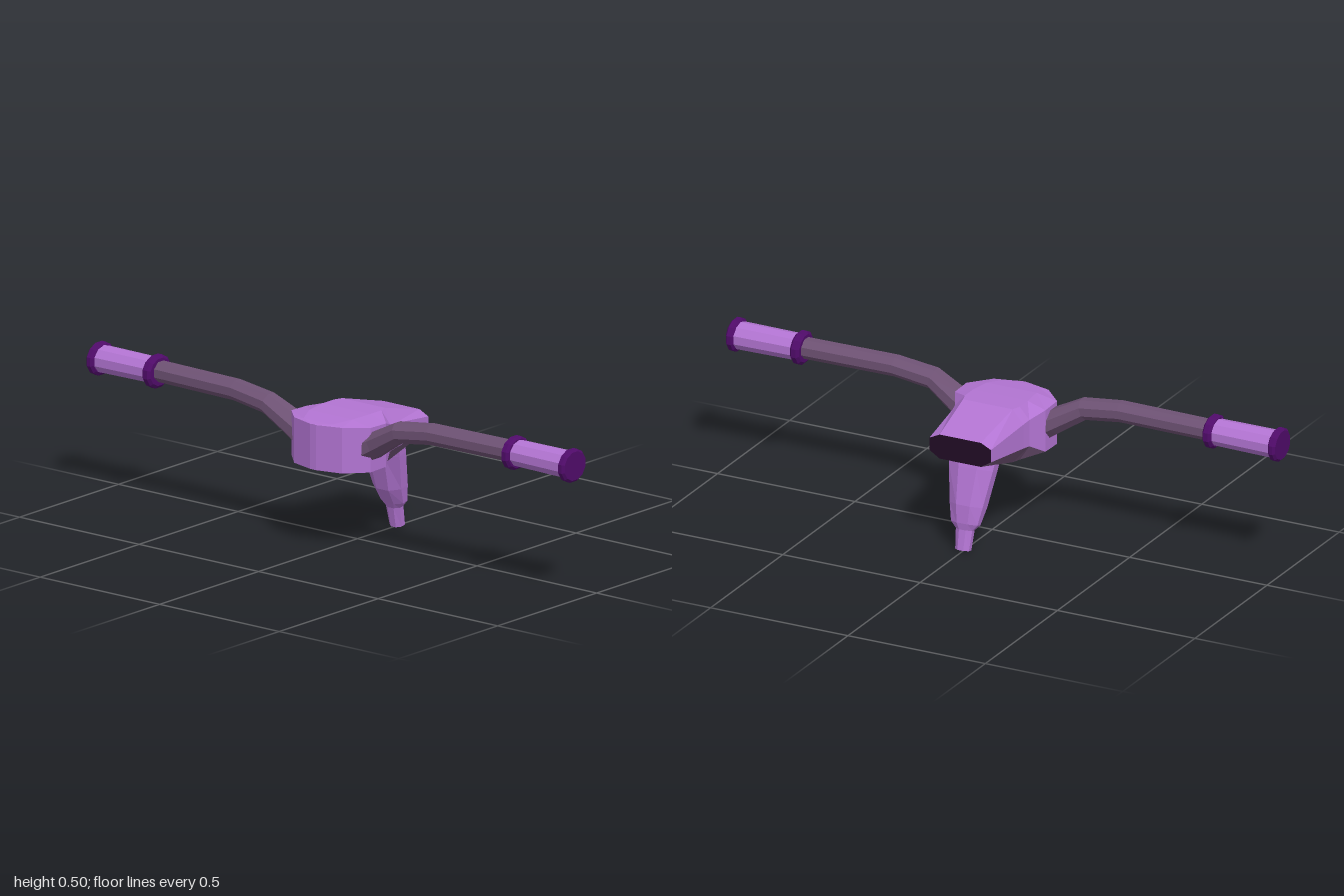
import * as THREE from 'three';

const mat = (name, color, extra = {}) => {
  const m = new THREE.MeshStandardMaterial({ color, flatShading: true, ...extra });
  m.name = name;
  return m;
};

// Skins a row of rings; open strips skip the closing column.
function loft(rings, { closed = true, capStart = false, capEnd = false } = {}) {
  const n = rings[0].length, pos = [];
  const tri = (...p) => p.forEach(v => pos.push(v.x, v.y, v.z));
  for (let i = 0; i < rings.length - 1; i++) {
    for (let j = 0; j < (closed ? n : n - 1); j++) {
      const k = (j + 1) % n;
      const a = rings[i][j], b = rings[i][k], c = rings[i + 1][k], d = rings[i + 1][j];
      tri(a, d, c);
      tri(a, c, b);
    }
  }
  const first = rings[0], last = rings[rings.length - 1];
  for (let j = 1; j < n - 1; j++) {
    if (capStart) tri(first[0], first[j], first[j + 1]);
    if (capEnd) tri(last[0], last[j + 1], last[j]);
  }
  const g = new THREE.BufferGeometry();
  g.setAttribute('position', new THREE.Float32BufferAttribute(pos, 3));
  g.computeVertexNormals();
  return g;
}

// Faceted tube along stations [x, y, z, radius along u, radius along v].
function tube(stations, sides, u, caps = true) {
  const pts = stations.map(s => new THREE.Vector3(s[0], s[1], s[2]));
  const grow = 1 / Math.cos(Math.PI / sides);
  const rings = stations.map((s, i) => {
    const t = pts[Math.min(i + 1, pts.length - 1)].clone().sub(pts[Math.max(i - 1, 0)]).normalize();
    const v = u.clone().cross(t).normalize();
    return Array.from({ length: sides }, (_, j) => {
      const a = (j + 0.5) / sides * Math.PI * 2;
      return pts[i].clone()
        .addScaledVector(u, Math.cos(a) * s[3] * grow)
        .addScaledVector(v, Math.sin(a) * s[4] * grow);
    });
  });
  return loft(rings, { capStart: caps, capEnd: caps });
}

export function createModel() {
  const group = new THREE.Group();
  group.name = 'handlebar';
  const lilac = mat('lilac', 0xb274d2);
  const barColor = mat('dusky mauve', 0x6e5274);
  const deep = mat('deep purple', 0x500b6a);
  const black = mat('plum black', 0x210c25);
  const add = (name, geo, material) => {
    const m = new THREE.Mesh(geo, material);
    m.name = name;
    group.add(m);
  };
  const X = new THREE.Vector3(1, 0, 0), Z = new THREE.Vector3(0, 0, 1);

  // Housing sections: z, half width, half flat, top, shoulder, lower edge, bottom
  const sections = [
    [0.225, 0.012, 0.006, 0.435, 0.434, 0.283, 0.282],
    [0.2, 0.1, 0.06, 0.439, 0.435, 0.282, 0.279],
    [0.135, 0.165, 0.09, 0.447, 0.432, 0.283, 0.268],
    [0.055, 0.165, 0.1, 0.45, 0.43, 0.285, 0.265],
    [0, 0.135, 0.1, 0.45, 0.41, 0.318, 0.265],
    [-0.03, 0.13, 0.09, 0.45, 0.405, 0.321, 0.265],
    [-0.222, 0.112, 0.075, 0.401, 0.383, 0.34, 0.317],
  ];
  const rings = sections.map(([z, w, f, top, sh, lo, bot]) =>
    [[w, lo], [w, sh], [f, top], [-f, top], [-w, sh], [-w, lo], [-f, bot], [f, bot]]
      .map(([x, y]) => new THREE.Vector3(x, y, z)));
  add('housing', loft(rings.map(r => r.slice(0, 6)), { closed: false, capStart: true }), lilac);
  add('housingUnderside', loft(rings.map(r => [r[5], r[6], r[7], r[0]]), { closed: false }), barColor);

  // Dark opening at the back of the housing
  const end = rings[rings.length - 1];
  add('rearOpening', loft([end, end], { capEnd: true }), black);

  // Tapered steering stem, leaning back
  add('stem', tube([
    [0, 0.335, -0.113, 0.088, 0.04],
    [0, 0.27, -0.132, 0.08, 0.041],
    [0, 0.15, -0.165, 0.06, 0.041],
    [0, 0.093, -0.184, 0.048, 0.027],
    [0, 0.073, -0.187, 0.03, 0.021],
    [0, 0.006, -0.201, 0.025, 0.021],
  ], 8, X), lilac);

  for (const s of [1, -1]) {
    const side = s > 0 ? 'left' : 'right';
    // Bent bar
    add(side + 'Bar', tube([
      [s * 0.11, 0.345, 0.103, 0.055, 0.05],
      [s * 0.17, 0.375, 0.105, 0.048, 0.04],
      [s * 0.275, 0.434, 0.118, 0.037, 0.034],
      [s * 0.41, 0.452, 0.115, 0.035, 0.033],
      [s * 0.76, 0.453, 0.107, 0.034, 0.033],
    ], 8, Z), barColor);
    // Grip
    add(side + 'Grip', tube([
      [s * 0.75, 0.452, 0.107, 0.047, 0.042],
      [s * 0.985, 0.451, 0.107, 0.049, 0.044],
    ], 10, Z), lilac);
    // Collars at both ends of the grip
    for (const [name, x, h] of [['InnerCollar', 0.75, 0.016], ['EndCap', 0.986, 0.014]]) {
      add(side + name, tube([
        [s * (x - h), 0.451, 0.109, 0.05, 0.045],
        [s * (x - h * 0.5), 0.451, 0.109, 0.06, 0.054],
        [s * (x + h * 0.5), 0.451, 0.109, 0.06, 0.054],
        [s * (x + h), 0.451, 0.109, 0.052, 0.047],
      ], 12, Z), deep);
    }
  }
  return group;
}
